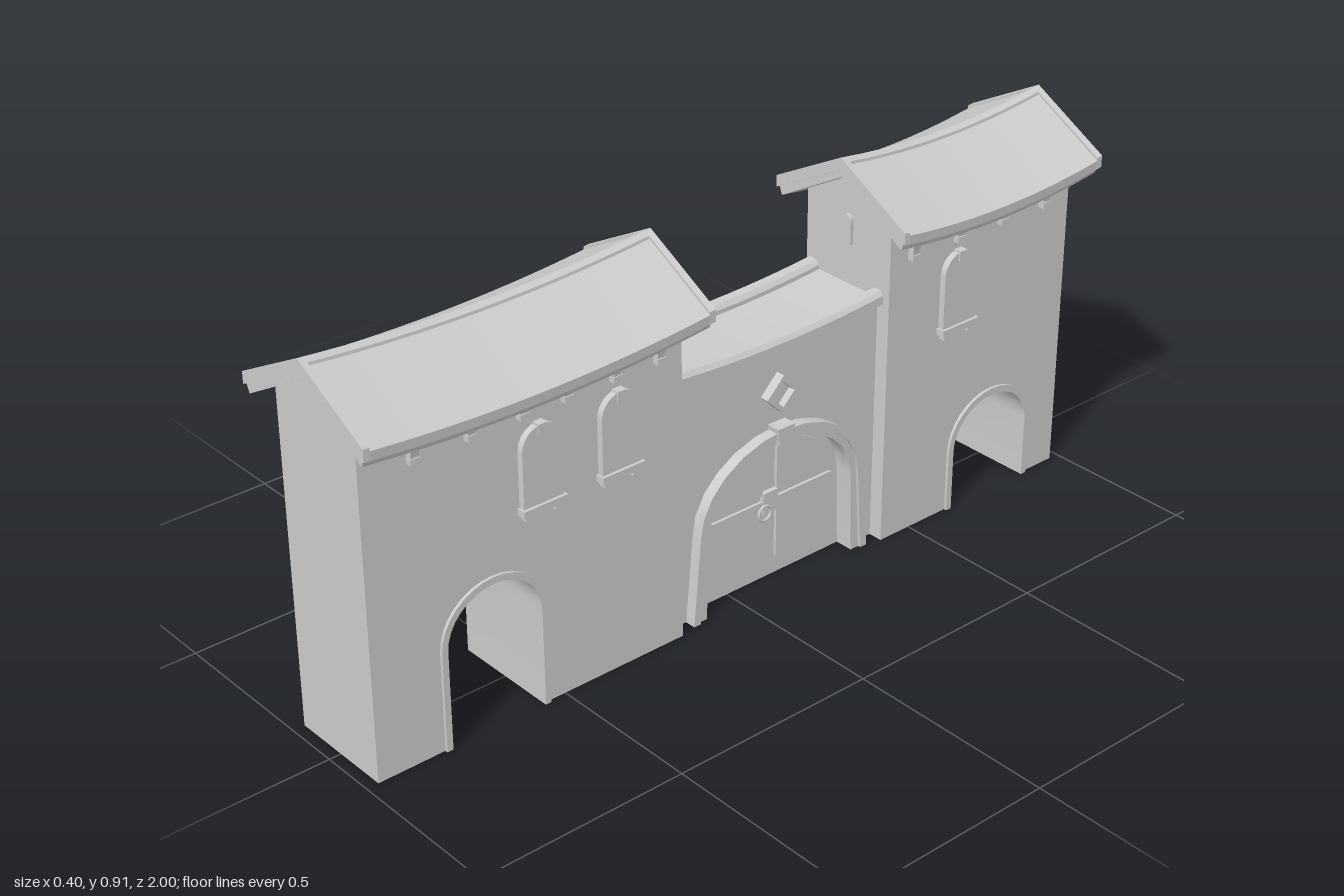
import * as THREE from 'three';
import { toCreasedNormals } from 'three/addons/utils/BufferGeometryUtils.js';

const grey = new THREE.MeshStandardMaterial({ color: 0xcccccc });
const V = (x, y) => new THREE.Vector2(x, y);

export function createModel() {
  const root = new THREE.Group();

  const add = (parent, name, geometry) => {
    const mesh = new THREE.Mesh(geometry, grey);
    mesh.name = name;
    parent.add(mesh);
    return mesh;
  };
  const group = (parent, name) => {
    const g = new THREE.Group();
    g.name = name;
    parent.add(g);
    return g;
  };
  const box = (parent, name, x0, x1, y0, y1, z0, z1) => {
    const g = new THREE.BoxGeometry(x1 - x0, y1 - y0, z1 - z0);
    g.translate((x0 + x1) / 2, (y0 + y1) / 2, (z0 + z1) / 2);
    return add(parent, name, g);
  };
  // Elevation shape (u = -z, y) extruded along x
  const alongX = (points, x0, x1, holes = []) => {
    const shape = new THREE.Shape(points);
    holes.forEach(h => shape.holes.push(new THREE.Path(h)));
    const g = new THREE.ExtrudeGeometry(shape, { depth: x1 - x0, bevelEnabled: false });
    g.rotateY(Math.PI / 2).translate(x0, 0, 0);
    return toCreasedNormals(g, 0.5);
  };
  // Section (x, y) extruded along z, sagging in the middle of the given span
  const alongZ = (points, z0, z1, sag = 0, s0 = z0, s1 = z1) => {
    const steps = sag ? Math.max(1, Math.ceil((z1 - z0) / 0.05)) : 1;
    const g = new THREE.ExtrudeGeometry(new THREE.Shape(points), { depth: z1 - z0, steps, bevelEnabled: false });
    g.translate(0, 0, z0);
    const p = g.attributes.position;
    for (let i = 0; i < p.count; i++) {
      const t = (2 * p.getZ(i) - s0 - s1) / (s1 - s0);
      p.setY(i, p.getY(i) - sag * (1 - t * t));
    }
    g.computeVertexNormals();
    return toCreasedNormals(g, 0.4);
  };
  // Open arch outline from left foot to right foot
  const arch = (c, half, y0, spring, top, n = 16, foot = half) => {
    const pts = [V(c - foot, y0)];
    for (let i = 0; i <= n; i++) {
      const a = Math.PI * (1 - i / n);
      pts.push(V(c + half * Math.cos(a), spring + (top - spring) * Math.sin(a)));
    }
    pts.push(V(c + foot, y0));
    return pts;
  };
  const band = (outer, inner) => [...outer, ...inner.slice().reverse()];

  // Gable-shaped layer: top ridge, eave corners, underside ridge
  const gable = (ridge, eaveX, eaveTop, lowX, eaveLow, under) => [
    V(0, ridge), V(-eaveX, eaveTop), V(-lowX, eaveLow), V(0, under), V(lowX, eaveLow), V(eaveX, eaveTop)];

  function archedWindow(parent, z) {
    const g = group(parent, 'window');
    add(g, 'windowFrame', alongX(arch(-z, 0.05, 0.485, 0.615, 0.665), 0.125, 0.145,
      [arch(-z, 0.033, 0.505, 0.608, 0.643)]));
    add(g, 'windowPanel', alongX(arch(-z, 0.04, 0.49, 0.61, 0.65), 0.12, 0.133));
    box(g, 'windowKeystone', 0.13, 0.149, 0.645, 0.668, z - 0.011, z + 0.011);
    box(g, 'windowSill', 0.125, 0.152, 0.472, 0.488, z - 0.055, z + 0.055);
    for (const s of [-1, 1])
      box(g, 'sillFoot', 0.125, 0.147, 0.46, 0.473, z + s * 0.037 - 0.01, z + s * 0.037 + 0.01);
  }

  function tower({ name, z0, z1, r0, r1, archZ, spring, top, brackets, windows, slitZ, slitDir }) {
    const g = group(root, name);
    const half = 0.118;
    // Walls with a passage, and the gable above
    const opening = arch(-archZ, half, 0, spring, top);
    add(g, 'towerWalls', alongX([V(-z1, 0), V(-z1, 0.77), V(-z0, 0.77), V(-z0, 0),
      ...opening.slice().reverse()], -0.13, 0.13));
    add(g, 'towerGable', alongZ([V(-0.13, 0.77), V(0.13, 0.77), V(0.13, 0.795), V(0, 0.868), V(-0.13, 0.795)],
      z0, z1, 0.012, r0, r1));
    add(g, 'passageTrim', alongX(band(arch(-archZ, half + 0.015, 0, spring, top + 0.016), opening), 0.125, 0.137));

    // Sagging roof in two layers, with raised boards at the gable ends
    const sag = 0.023;
    add(g, 'roofTiles', alongZ(gable(0.903, 0.2, 0.794, 0.198, 0.772, 0.884), r0 + 0.012, r1 - 0.012, sag, r0, r1));
    add(g, 'roofUnderside', alongZ(gable(0.886, 0.194, 0.776, 0.186, 0.757, 0.863), r0 + 0.004, r1 - 0.004, sag, r0, r1));
    for (const [a, b] of [[r0, r0 + 0.015], [r1 - 0.015, r1]])
      add(g, 'gableBoard', alongZ(gable(0.909, 0.2, 0.801, 0.2, 0.773, 0.88), a, b, sag, r0, r1));
    add(g, 'ridgeCap', alongZ([V(-0.015, 0.89), V(0.015, 0.89), V(0.013, 0.902), V(0, 0.909), V(-0.013, 0.902)],
      r0 + 0.01, r1 - 0.01, sag, r0, r1));

    // Curved eave brackets on both sides
    for (const s of [-1, 1]) for (const z of brackets) {
      const pts = [[0.125, 0.7], [0.143, 0.7], [0.146, 0.72], [0.156, 0.743], [0.175, 0.768],
        [0.155, 0.778], [0.138, 0.75], [0.125, 0.725]].map(([x, y]) => V(s * x, y));
      add(g, 'eaveBracket', alongZ(pts, z - 0.01, z + 0.01));
      box(g, 'bracketFoot', Math.min(s * 0.12, s * 0.146), Math.max(s * 0.12, s * 0.146), 0.688, 0.702, z - 0.011, z + 0.011);
    }
    windows.forEach(z => archedWindow(g, z));

    // Slit in the gable facing the gate
    const slit = new THREE.Shape(arch(0, 0.014, 0.7, 0.755, 0.77, 10));
    slit.holes.push(new THREE.Path(arch(0, 0.008, 0.706, 0.753, 0.763, 10)));
    const slitGeo = new THREE.ExtrudeGeometry(slit, { depth: 0.012, bevelEnabled: false });
    slitGeo.translate(0, 0, slitZ - 0.006 + slitDir * 0.002);
    add(g, 'gableSlit', slitGeo);
  }

  tower({ name: 'largeTower', z0: 0.178, z1: 0.972, r0: 0.148, r1: 1, archZ: 0.675, spring: 0.235, top: 0.345,
    brackets: [0.85, 0.715, 0.59, 0.48, 0.357, 0.243], windows: [0.55, 0.35], slitZ: 0.178, slitDir: -1 });
  tower({ name: 'smallTower', z0: -0.975, z1: -0.412, r0: -1, r1: -0.382, archZ: -0.75, spring: 0.15, top: 0.257,
    brackets: [-0.477, -0.617, -0.753, -0.888], windows: [-0.62], slitZ: -0.412, slitDir: 1 });

  // Gate wall between the towers, with a sagging top
  const gate = group(root, 'gate');
  const zA = -0.412, zB = 0.178, c = 0.118;
  const inner = arch(c, 0.208, 0, 0.2, 0.362, 12, 0.215);
  const crest = [];
  for (let i = 0; i <= 10; i++) {
    const t = i / 5 - 1;
    crest.push(V(-zB + (zB - zA) * i / 10, 0.602 - 0.014 * (1 - t * t)));
  }
  add(gate, 'gateWall', alongX([V(-zB, 0), ...crest, V(-zA, 0), ...inner.slice().reverse()], -0.11, 0.095));
  for (const [a, b] of [[-0.13, -0.09], [0.075, 0.112]])
    add(gate, 'coping', alongZ([V(a, 0.592), V(b, 0.592), V(b, 0.612), V(b - 0.008, 0.622), V(a + 0.008, 0.622), V(a, 0.612)],
      zA, zB, 0.014));

  // Door surround: broad band, raised outer bead and keystone
  const outer = arch(c, 0.238, 0, 0.21, 0.393, 12, 0.257);
  add(gate, 'doorSurround', alongX(band(outer, inner), 0.09, 0.115));
  add(gate, 'surroundBead', alongX(band(outer, arch(c, 0.224, 0, 0.205, 0.378, 12, 0.238)), 0.09, 0.122));
  add(gate, 'doorKeystone', alongX([V(c - 0.018, 0.36), V(c + 0.018, 0.36), V(c + 0.024, 0.403), V(c - 0.024, 0.403)], 0.09, 0.128));

  // Door with four raised panels on each face
  const door = group(gate, 'door');
  add(door, 'doorSlab', alongX(arch(c, 0.21, 0, 0.2, 0.362, 12, 0.216), 0.05, 0.07));
  for (const s of [-1, 1]) {
    const lower = [V(c + s * 0.02, 0.045), V(c + s * 0.188, 0.045), V(c + s * 0.184, 0.2), V(c + s * 0.02, 0.2)];
    const upper = [V(c + s * 0.02, 0.216), V(c + s * 0.183, 0.216)];
    for (let i = 1; i <= 6; i++) {
      const a = Math.PI / 2 * i / 6.6;
      upper.push(V(c + s * 0.183 * Math.cos(a), 0.216 + 0.128 * Math.sin(a)));
    }
    upper.push(V(c + s * 0.02, 0.344));
    for (const pts of [lower, upper]) add(door, 'doorPanel', alongX(pts, 0.043, 0.077));
  }
  box(door, 'lockPlate', 0.06, 0.082, 0.17, 0.222, -c - 0.02, -c + 0.022);
  const ring = new THREE.TorusGeometry(0.018, 0.004, 6, 16);
  ring.rotateY(Math.PI / 2).translate(0.084, 0.175, -c + 0.02);
  add(door, 'doorRing', ring);

  // Diamond ornament above the door
  const diamond = r => [V(c, 0.477 - r), V(c + r, 0.477), V(c, 0.477 + r), V(c - r, 0.477)];
  add(gate, 'diamondFrame', alongX(diamond(0.046), 0.09, 0.117, [diamond(0.031)]));
  add(gate, 'diamondPanel', alongX(diamond(0.036), 0.09, 0.1));

  return root;
}
